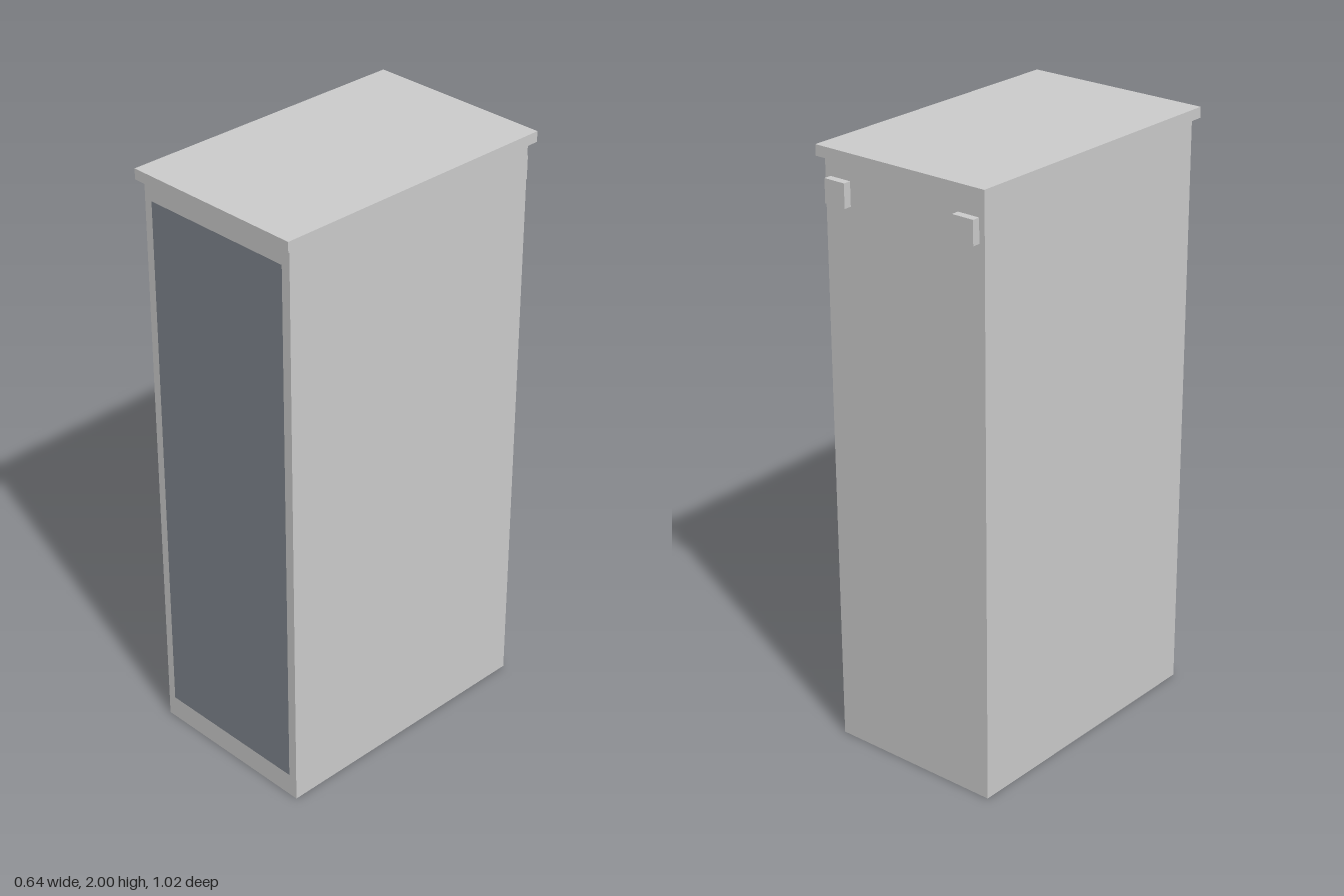
import * as THREE from 'three';

export function createModel() {
  const group = new THREE.Group();
  const grey = new THREE.MeshStandardMaterial({ color: 0xcccccc });
  const slate = new THREE.MeshStandardMaterial({ color: 0x80868e });

  const add = (name, geometry, material, x, y, z) => {
    const mesh = new THREE.Mesh(geometry, material);
    mesh.name = name;
    mesh.position.set(x, y, z);
    group.add(mesh);
  };

  // Tall cabinet body
  add('body', new THREE.BoxGeometry(0.61, 1.965, 0.979), grey, 0, 0.9825, 0.0025);

  // Overhanging lid
  add('lid', new THREE.BoxGeometry(0.644, 0.035, 1.02), grey, 0, 1.9825, 0.002);

  // Dark inset panel, flush with the front face
  add('frontPanel', new THREE.PlaneGeometry(0.55, 1.825), slate, 0, 0.9925, 0.4935);

  // Pair of small blocks near the top of the back
  for (const side of [-1, 1]) {
    add(side > 0 ? 'leftBackBlock' : 'rightBackBlock',
      new THREE.BoxGeometry(0.078, 0.078, 0.026), grey, side * 0.246, 1.867, -0.5);
  }

  return group;
}
